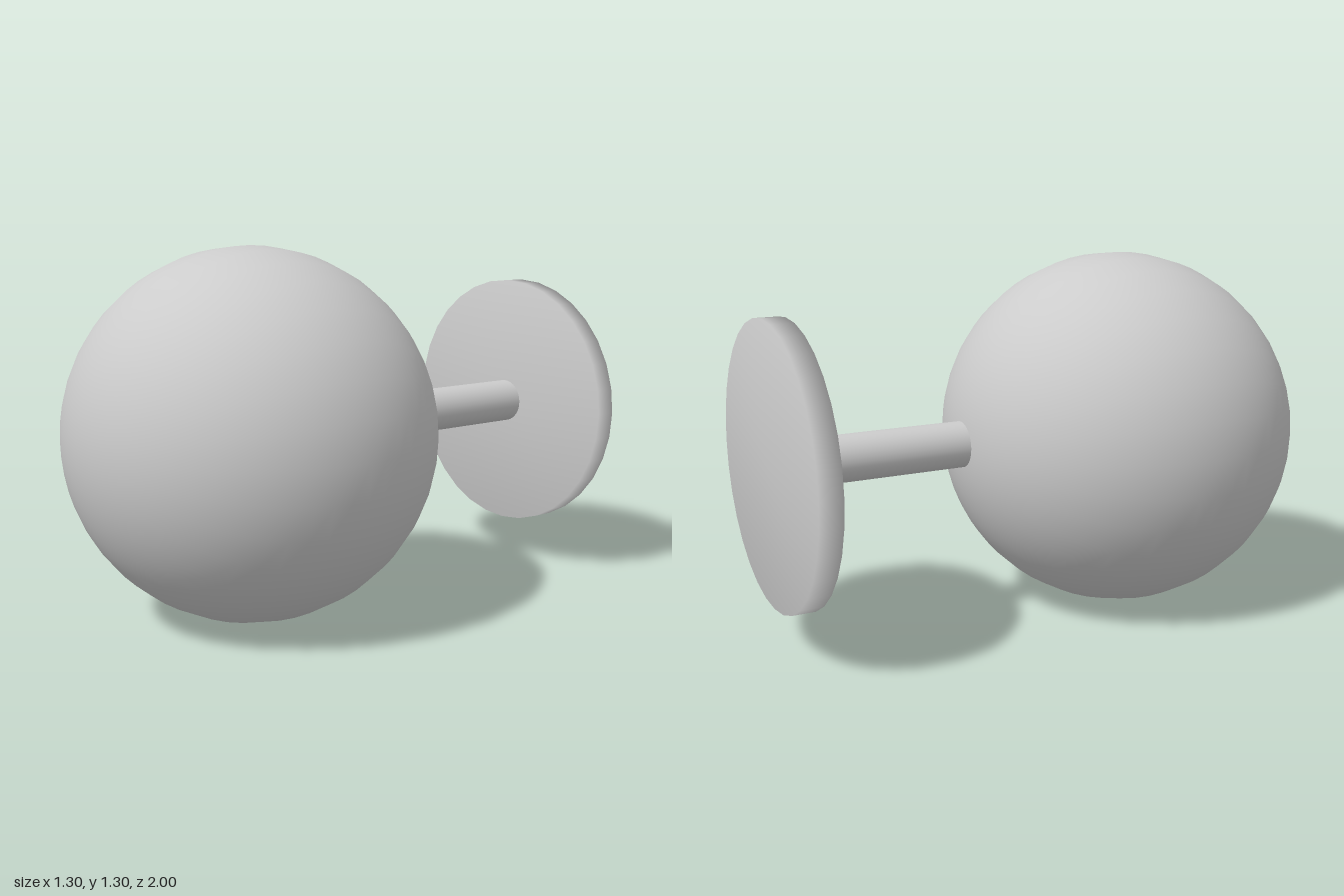
import * as THREE from 'three';
import { mergeVertices } from 'three/addons/utils/BufferGeometryUtils.js';

const CENTRE_Y = 0.653;

// Cylinder along z between two depths, optionally with normals softened across its rims
function rod(radius, zBack, zFront, soft) {
  let g = new THREE.CylinderGeometry(radius, radius, zFront - zBack, 32);
  if (soft) {
    g.deleteAttribute('normal');
    g.deleteAttribute('uv');
    g = mergeVertices(g);
    g.computeVertexNormals();
  }
  g.rotateX(Math.PI / 2);
  g.translate(0, CENTRE_Y, (zBack + zFront) / 2);
  return g;
}

export function createModel() {
  const model = new THREE.Group();
  model.name = 'roundKnob';
  const material = new THREE.MeshStandardMaterial({ color: 0xcccccc });
  const add = (name, geometry) => {
    const mesh = new THREE.Mesh(geometry, material);
    mesh.name = name;
    model.add(mesh);
  };

  // Large ball at the front
  const ball = new THREE.SphereGeometry(0.652, 32, 32);
  ball.rotateX(Math.PI / 2);
  ball.translate(0, CENTRE_Y, 0.348);
  add('ball', ball);

  // Slim stem joining the ball to the plate
  add('stem', rod(0.082, -0.96, -0.25, false));

  // Round mounting plate at the back, with a softly shaded rim
  add('backPlate', rod(0.49, -1, -0.92, true));

  return model;
}
